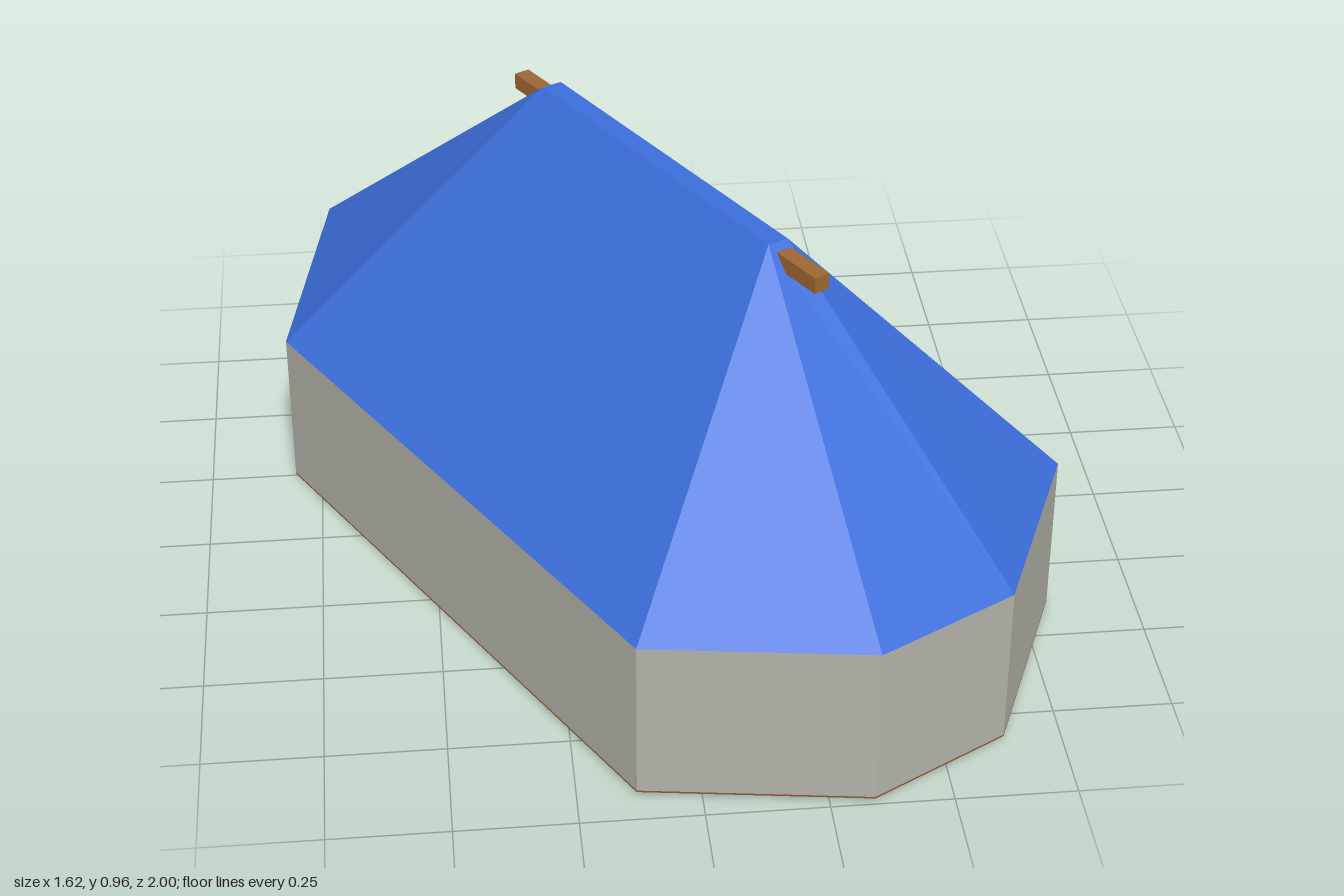
import * as THREE from 'three';

const mat = (name, color) => Object.assign(new THREE.MeshStandardMaterial({ color }), { name });

// Flat-shaded band between two outlines of [x, z] points, with optional caps
function loft(lower, y0, upper, y1, capBottom, capTop) {
  const pos = [];
  const tri = (a, b, c) => {
    const ab = b.clone().sub(a), ac = c.clone().sub(a);
    if (ab.cross(ac).length() > 1e-6) for (const p of [a, b, c]) pos.push(p.x, p.y, p.z);
  };
  const lo = lower.map(([x, z]) => new THREE.Vector3(x, y0, z));
  const hi = upper.map(([x, z]) => new THREE.Vector3(x, y1, z));
  const n = lo.length;
  for (let i = 0; i < n; i++) {
    const j = (i + 1) % n;
    tri(lo[i], hi[i], hi[j]);
    tri(lo[i], hi[j], lo[j]);
    if (i > 0 && i < n - 1) {
      if (capBottom) tri(lo[0], lo[i], lo[j]);
      if (capTop) tri(hi[0], hi[j], hi[i]);
    }
  }
  const geo = new THREE.BufferGeometry();
  geo.setAttribute('position', new THREE.Float32BufferAttribute(pos, 3));
  geo.computeVertexNormals();
  return geo;
}

export function createModel() {
  const group = new THREE.Group();
  group.name = 'tent';
  const canvas = mat('blueRoof', 0x3b6edb);
  const stone = mat('greyWall', 0xb2b2a8);
  const wood = mat('brownWood', 0x9c6633);
  const earth = mat('brownFloor', 0x8b5830);
  stone.side = canvas.side = THREE.DoubleSide;

  const add = (name, geo, material) => {
    const mesh = new THREE.Mesh(geo, material);
    mesh.name = name;
    group.add(mesh);
    return mesh;
  };

  // Elongated eight-sided plan, and the ridge corner each plan corner runs to
  const plan = [[-0.43, -1], [0.12, -0.8], [0.81, 0.39], [0.63, 0.83],
    [0.34, 0.995], [-0.13, 0.93], [-0.81, -0.25], [-0.71, -0.84]];
  const [backRight, frontRight, frontLeft, backLeft] =
    [[-0.18, -0.3], [0.22, 0.41], [0.18, 0.43], [-0.22, -0.28]];
  const ridge = [backRight, backRight, frontRight, frontRight,
    frontLeft, frontLeft, backLeft, backLeft];

  add('floor', loft(plan, 0.005, plan, 0.009, true, false), earth);
  add('walls', loft(plan, 0.009, plan, 0.365, false, false), stone);
  add('roof', loft(plan, 0.365, ridge, 0.96, false, true), canvas);

  // Ridge pole running through the roof and poking out at both ends
  const a = new THREE.Vector3(-0.26, 0.928, -0.385);
  const b = new THREE.Vector3(0.272, 0.928, 0.536);
  const pole = add('ridgePole', new THREE.BoxGeometry(0.035, 0.035, a.distanceTo(b)), wood);
  pole.position.copy(a).add(b).multiplyScalar(0.5);
  pole.rotation.y = Math.atan2(b.x - a.x, b.z - a.z);

  // Slight settling towards the back
  group.rotation.x = -0.005;
  return group;
}
